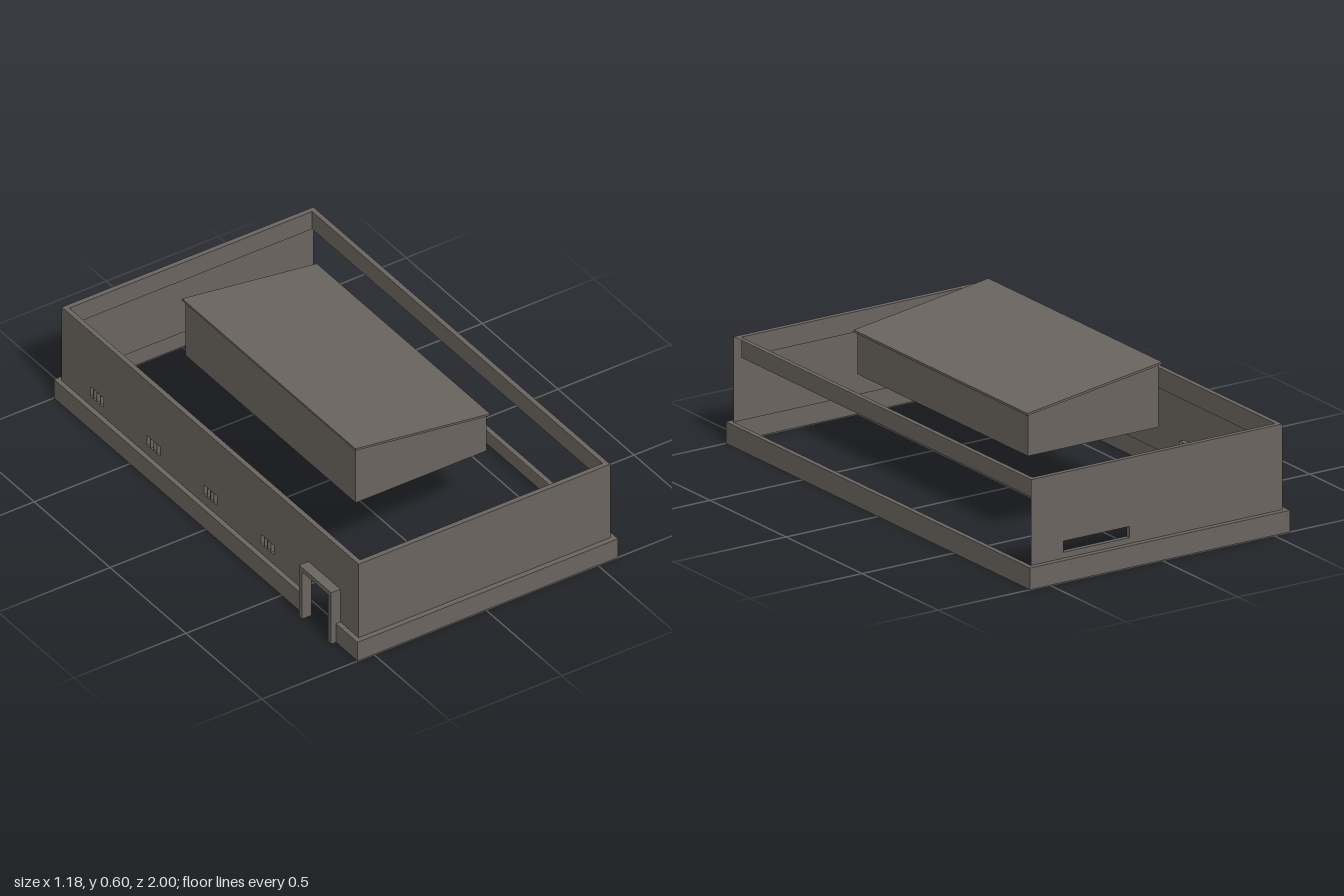
import * as THREE from 'three';

const plaster = new THREE.MeshStandardMaterial({ color: 0x6a645e, side: THREE.DoubleSide });
plaster.name = 'taupe plaster';

// Main outlines: plinth, wall and parapet inner faces
const PLINTH = { x0: -0.573, x1: 0.59, z: 1.0 };
const WALL = { x0: -0.553, x1: 0.57, z: 0.978 };
const INNER = { x0: -0.533, x1: 0.55, z: 0.957 };
const LEDGE_Y = 0.085, TOP_Y = 0.42, SOFFIT_Y = 0.34;
const DOOR = { z0: 0.647, z1: 0.858, top: 0.235, frame: 0.02 };
const REVEAL = 0.021;

const rect = (a0, a1, b0, b1) => [[a0, b0], [a1, b0], [a1, b1], [a0, b1]];
const vectors = (pts) => pts.map(([a, b]) => new THREE.Vector2(a, b));

function shapeOf(pts, holes = []) {
  const shape = new THREE.Shape(vectors(pts));
  holes.forEach((h) => shape.holes.push(new THREE.Path(vectors(h))));
  return shape;
}

export function createModel() {
  const model = new THREE.Group();
  model.name = 'building';

  const add = (name, geometry, x = 0, y = 0, z = 0) => {
    const mesh = new THREE.Mesh(geometry, plaster);
    mesh.name = name;
    mesh.position.set(x, y, z);
    model.add(mesh);
  };
  // Thin sheets: facing z (points x,y), facing x (points z,y), facing up (points x,-z)
  const sheetZ = (name, z, pts, holes) =>
    add(name, new THREE.ShapeGeometry(shapeOf(pts, holes)), 0, 0, z);
  const sheetX = (name, x, pts, holes) =>
    add(name, new THREE.ShapeGeometry(shapeOf(pts, holes)).rotateY(-Math.PI / 2), x);
  const sheetY = (name, y, pts, holes) =>
    add(name, new THREE.ShapeGeometry(shapeOf(pts, holes)).rotateX(-Math.PI / 2), 0, y);

  // Plinth: outer skirt and narrow ledge, interrupted by the doorway
  for (const s of [-1, 1]) {
    sheetZ('plinthEnd', s * PLINTH.z, rect(PLINTH.x0, PLINTH.x1, 0, LEDGE_Y));
    const a = s * PLINTH.z, b = s * WALL.z;
    sheetY('plinthEndLedge', LEDGE_Y, rect(PLINTH.x0, PLINTH.x1, Math.min(a, b), Math.max(a, b)));
  }
  sheetX('plinthLeft', PLINTH.x1, rect(-PLINTH.z, PLINTH.z, 0, LEDGE_Y));
  sheetY('plinthLeftLedge', LEDGE_Y, rect(WALL.x1, PLINTH.x1, -WALL.z, WALL.z));
  for (const [z0, z1] of [[-PLINTH.z, DOOR.z0], [DOOR.z1, PLINTH.z]]) {
    sheetX('plinthRight', PLINTH.x0, rect(z0, z1, 0, LEDGE_Y));
    const l0 = Math.max(z0, -WALL.z), l1 = Math.min(z1, WALL.z);
    sheetY('plinthRightLedge', LEDGE_Y, rect(PLINTH.x0, WALL.x0, -l1, -l0));
  }

  // Front wall, and back wall with its slot window
  const slot = { x0: 0.13, x1: 0.424, y0: 0.108, y1: 0.152 };
  const endWall = rect(WALL.x0, WALL.x1, LEDGE_Y, TOP_Y);
  sheetZ('frontWall', WALL.z, endWall);
  sheetZ('backWall', -WALL.z, endWall, [rect(slot.x0, slot.x1, slot.y0, slot.y1)]);
  for (const x of [slot.x0, slot.x1])
    sheetX('slotJamb', x, rect(-WALL.z, -WALL.z + REVEAL, slot.y0, slot.y1));
  for (const y of [slot.y0, slot.y1])
    sheetY('slotSill', y, rect(slot.x0, slot.x1, WALL.z - REVEAL, WALL.z));

  // Right wall with doorway notch and four windows; the left side stays open
  const win = { half: 0.043, y0: 0.127, y1: 0.171 };
  const windows = [0.377, 0.002, -0.373, -0.747];
  sheetX('rightWall', WALL.x0, [
    [-WALL.z, LEDGE_Y], [DOOR.z0, LEDGE_Y], [DOOR.z0, DOOR.top], [DOOR.z1, DOOR.top],
    [DOOR.z1, LEDGE_Y], [WALL.z, LEDGE_Y], [WALL.z, TOP_Y], [-WALL.z, TOP_Y],
  ], windows.map((c) => rect(c - win.half, c + win.half, win.y0, win.y1)));

  // Window reveals and mullions
  for (const c of windows) {
    const x0 = WALL.x0, x1 = WALL.x0 + REVEAL;
    for (const s of [-1, 1])
      sheetZ('windowJamb', c + s * win.half, rect(x0, x1, win.y0, win.y1));
    for (const y of [win.y0, win.y1])
      sheetY('windowSill', y, rect(x0, x1, -c - win.half, -c + win.half));
    for (const k of [-1, 0, 1])
      add('mullion', new THREE.BoxGeometry(REVEAL, win.y1 - win.y0, 0.004),
        (x0 + x1) / 2, (win.y0 + win.y1) / 2, c + k * win.half / 2);
  }

  // Door surround, standing proud of the wall
  const f = DOOR.frame;
  const frame = shapeOf([
    [DOOR.z0, 0], [DOOR.z0 + f, 0], [DOOR.z0 + f, DOOR.top - f], [DOOR.z1 - f, DOOR.top - f],
    [DOOR.z1 - f, 0], [DOOR.z1, 0], [DOOR.z1, DOOR.top], [DOOR.z0, DOOR.top],
  ]);
  add('doorFrame', new THREE.ExtrudeGeometry(frame, { depth: 0.042, bevelEnabled: false })
    .rotateY(-Math.PI / 2), WALL.x0);

  // Parapet: flat coping ring and inner faces
  sheetY('parapetCoping', TOP_Y, rect(WALL.x0, WALL.x1, -WALL.z, WALL.z),
    [rect(INNER.x0, INNER.x1, -INNER.z, INNER.z)]);
  for (const s of [-1, 1])
    sheetZ('parapetEnd', s * INNER.z, rect(INNER.x0, INNER.x1, SOFFIT_Y, TOP_Y));
  for (const x of [INNER.x0, INNER.x1])
    sheetX('parapetSide', x, rect(-INNER.z, INNER.z, SOFFIT_Y, TOP_Y));

  // Raised clerestory, open below, under a sloping roof
  const box = { x0: -0.283, x1: 0.3, z: 0.56 };
  const roof = { x0: -0.292, x1: 0.31, y0: 0.597, y1: 0.512, t: 0.009, z: 0.571 };
  const under = (x) =>
    roof.y0 - roof.t + (roof.y1 - roof.y0) * (x - roof.x0) / (roof.x1 - roof.x0);
  for (const s of [-1, 1])
    sheetZ('clerestoryEnd', s * box.z, [[box.x0, SOFFIT_Y], [box.x1, SOFFIT_Y],
      [box.x1, under(box.x1)], [box.x0, under(box.x0)]]);
  for (const x of [box.x0, box.x1])
    sheetX('clerestorySide', x, rect(-box.z, box.z, SOFFIT_Y, under(x)));
  const slab = shapeOf([[roof.x0, roof.y0 - roof.t], [roof.x1, roof.y1 - roof.t],
    [roof.x1, roof.y1], [roof.x0, roof.y0]]);
  add('slopingRoof', new THREE.ExtrudeGeometry(slab, { depth: 2 * roof.z, bevelEnabled: false }),
    0, 0, -roof.z);

  return model;
}
